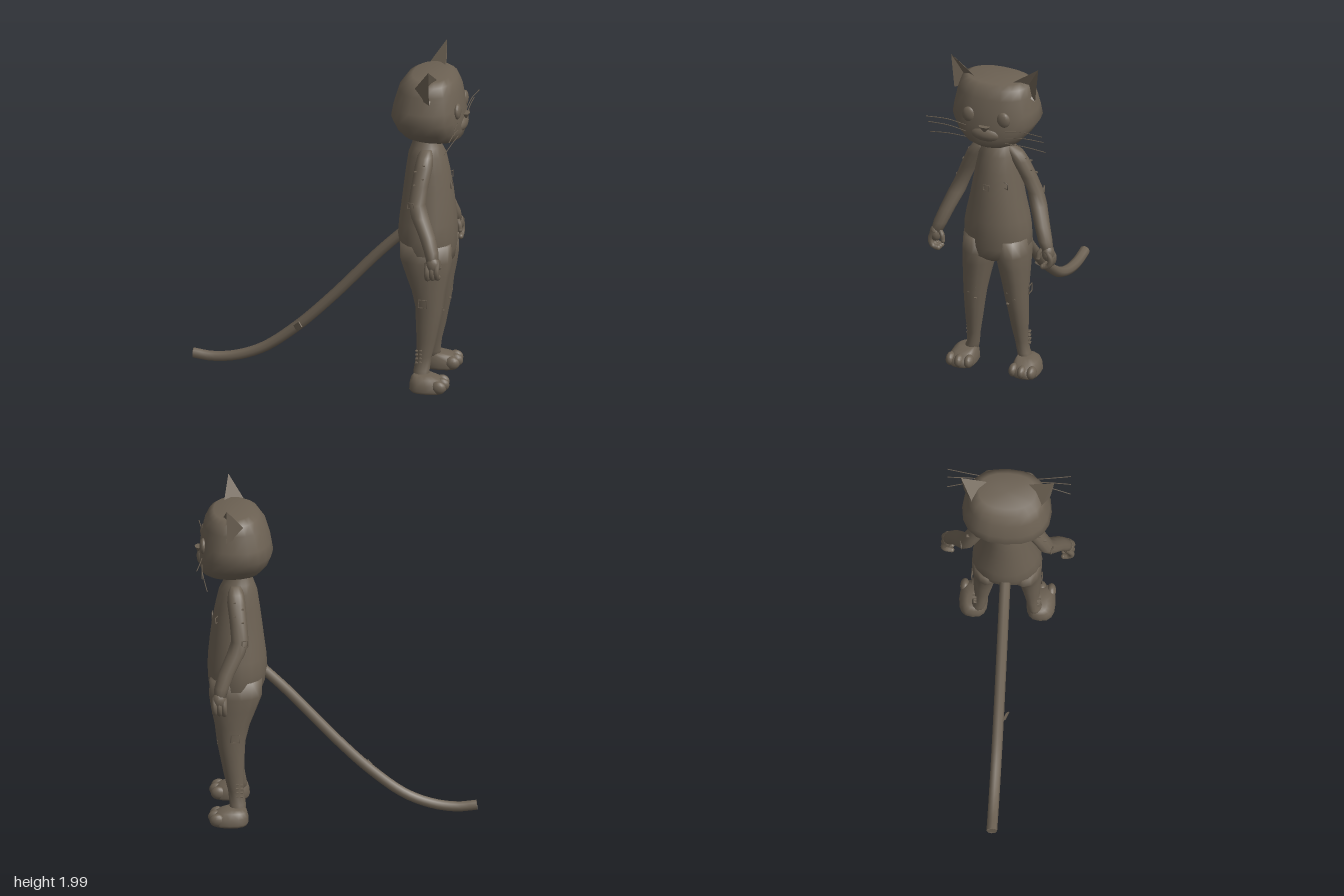
import * as THREE from 'three';

const fur = new THREE.MeshStandardMaterial({ color: 0x6c6153, side: THREE.DoubleSide });
fur.name = 'greyBrownFur';

function add(group, name, geometry, pos = [0, 0, 0], scale = [1, 1, 1]) {
  const mesh = new THREE.Mesh(geometry, fur);
  mesh.name = name;
  mesh.position.set(...pos);
  mesh.scale.set(...scale);
  group.add(mesh);
  return mesh;
}

// Closed skin through horizontal rings, lowest first: [y, x0, x1, z0, z1]
function loft(rings, sides = 16, power = 2) {
  const pos = [], index = [];
  const bend = v => Math.sign(v) * Math.abs(v) ** (2 / power);
  for (const [y, x0, x1, z0, z1] of rings) {
    for (let j = 0; j < sides; j++) {
      const a = (j / sides) * Math.PI * 2;
      pos.push((x0 + x1) / 2 + bend(Math.cos(a)) * (x1 - x0) / 2, y,
        (z0 + z1) / 2 + bend(Math.sin(a)) * (z1 - z0) / 2);
    }
  }
  const last = (rings.length - 1) * sides, low = rings.length * sides;
  for (const r of [rings[0], rings[rings.length - 1]]) pos.push((r[1] + r[2]) / 2, r[0], (r[3] + r[4]) / 2);
  for (let j = 0; j < sides; j++) {
    const k = (j + 1) % sides;
    for (let i = 0; i < last; i += sides) {
      index.push(i + j, i + sides + j, i + k, i + k, i + sides + j, i + sides + k);
    }
    index.push(low, j, k, low + 1, last + k, last + j);
  }
  const g = new THREE.BufferGeometry();
  g.setAttribute('position', new THREE.Float32BufferAttribute(pos, 3));
  g.setIndex(index);
  g.computeVertexNormals();
  return g;
}

const tube = (points, radius, steps = 8, sides = 8) => new THREE.TubeGeometry(
  new THREE.CatmullRomCurve3(points.map(p => new THREE.Vector3(...p))), steps, radius, sides);
const ball = (r = 1) => new THREE.SphereGeometry(r, 14, 10);

// Tapered, hollow-fronted ear
function earGeometry() {
  const tip = [0.62, 2.0, 0.268], inner = [0.645, 1.88, 0.09], outer = [0.62, 1.79, 0.248];
  const back = [0.5, 1.83, 0.18], hollow = [0.59, 1.85, 0.185];
  const faces = [[tip, back, inner], [tip, outer, back], [tip, inner, hollow], [tip, hollow, outer], [inner, outer, hollow]];
  const g = new THREE.BufferGeometry();
  g.setAttribute('position', new THREE.Float32BufferAttribute(faces.flat(2), 3));
  g.computeVertexNormals();
  return g;
}

// Small square frame of stitching
function patch(group, name, pos, size, turn) {
  const frame = add(group, name, new THREE.TorusGeometry(size, 0.004, 4, 4), pos);
  frame.rotation.set(0, turn, 0.75);
  frame.rotation.order = 'YXZ';
}

// Everything on the +z half, mirrored for the other side
function buildSide() {
  const side = new THREE.Group();
  add(side, 'ear', earGeometry());
  add(side, 'eye', ball(), [0.757, 1.71, 0.105], [0.022, 0.048, 0.042]);
  [[1.65, 1.665], [1.61, 1.615], [1.575, 1.535]].forEach(([y0, y1], i) => {
    add(side, 'whisker', tube([[0.765, y0 - 0.01, 0.12], [0.772 - i * 0.01, (y0 + y1) / 2 + 0.004, 0.23],
      [0.79 - i * 0.03, y1, 0.355]], 0.0028, 8, 4));
  });

  add(side, 'arm', loft([
    [0.86, 0.625, 0.695, 0.305, 0.375], [0.92, 0.605, 0.69, 0.278, 0.362], [1.0, 0.57, 0.665, 0.245, 0.335],
    [1.1, 0.515, 0.62, 0.2, 0.298], [1.17, 0.495, 0.595, 0.178, 0.268], [1.27, 0.505, 0.605, 0.135, 0.23],
    [1.37, 0.515, 0.62, 0.085, 0.188], [1.42, 0.525, 0.615, 0.06, 0.155], [1.45, 0.54, 0.6, 0.05, 0.11],
  ], 12));
  add(side, 'palm', ball(), [0.662, 0.845, 0.345], [0.042, 0.052, 0.036]);
  [0.632, 0.66, 0.688].forEach((x, i) => {
    const f = add(side, 'finger', tube([[x, 0.86, 0.345], [x, 0.805, 0.37], [x, 0.765, 0.355], [x, 0.755, 0.322]], 0.016), [0, i * 0.004, 0]);
    f.add(new THREE.Mesh(ball(0.016), fur));
    f.children[0].position.set(x, 0.755, 0.322);
    f.children[0].name = 'fingertip';
  });
  add(side, 'thumb', tube([[0.665, 0.875, 0.325], [0.685, 0.85, 0.298], [0.69, 0.815, 0.292]], 0.014));
  add(side, 'thumbTip', ball(0.014), [0.69, 0.815, 0.292]);

  add(side, 'leg', loft([
    [0.05, 0.51, 0.61, 0.13, 0.235], [0.12, 0.512, 0.605, 0.118, 0.192], [0.2, 0.525, 0.615, 0.108, 0.185],
    [0.3, 0.525, 0.64, 0.09, 0.191], [0.4, 0.52, 0.66, 0.075, 0.194], [0.5, 0.515, 0.68, 0.058, 0.196],
    [0.6, 0.49, 0.692, 0.038, 0.199], [0.7, 0.45, 0.713, 0.016, 0.202], [0.78, 0.42, 0.725, 0.0, 0.203],
    [0.88, 0.42, 0.72, 0.01, 0.195],
  ], 14));
  add(side, 'foot', loft([
    [0.01, 0.505, 0.7, 0.118, 0.27], [0.025, 0.495, 0.715, 0.11, 0.277], [0.06, 0.497, 0.71, 0.113, 0.272],
    [0.09, 0.505, 0.67, 0.122, 0.255], [0.105, 0.52, 0.62, 0.13, 0.23],
  ], 16, 2.6));
  [0.138, 0.193, 0.248].forEach((z, i) => {
    add(side, 'toe', ball(), [i === 1 ? 0.685 : 0.675, 0.05, z], [0.044, 0.039, 0.028]);
  });

  // Stitches scattered on the limbs
  const stitches = [];
  for (let i = 0; i < 4; i++) {
    stitches.push([0.535, 0.17 + i * 0.024, 0.182], [0.56, 0.175 + i * 0.024, 0.188]);
    stitches.push([0.672, 0.47 + i * 0.035, 0.1 + (i % 2) * 0.04]);
    stitches.push([0.53 + (i % 2) * 0.045, 1.28 + i * 0.035, 0.222 - i * 0.017]);
  }
  for (const p of stitches) add(side, 'stitch', new THREE.BoxGeometry(0.014, 0.006, 0.016), p);
  patch(side, 'legPatch', [0.572, 0.54, 0.201], 0.034, 0);
  patch(side, 'armPatch', [0.515, 1.165, 0.262], 0.026, -0.3);
  return side;
}

export function createModel() {
  const model = new THREE.Group();
  model.name = 'standingCat';

  add(model, 'head', loft([
    [1.505, 0.47, 0.74, -0.12, 0.12], [1.53, 0.425, 0.77, -0.17, 0.17], [1.58, 0.385, 0.785, -0.215, 0.215],
    [1.65, 0.358, 0.782, -0.258, 0.258], [1.72, 0.37, 0.775, -0.247, 0.247], [1.82, 0.4, 0.757, -0.225, 0.225],
    [1.875, 0.44, 0.73, -0.207, 0.207], [1.9, 0.48, 0.7, -0.165, 0.165],
  ], 20, 2.35));
  add(model, 'muzzle', ball(), [0.752, 1.605, 0], [0.046, 0.05, 0.1]);

  // Triangular nose, wide at the top
  const nose = add(model, 'nose', new THREE.ConeGeometry(0.035, 0.045, 8), [0.785, 1.642, 0], [0.7, 1, 1]);
  nose.rotation.z = Math.PI;

  add(model, 'body', loft([
    [0.735, 0.5, 0.68, -0.08, 0.08], [0.77, 0.43, 0.72, -0.18, 0.18], [0.83, 0.405, 0.73, -0.2, 0.2],
    [0.92, 0.392, 0.735, -0.2, 0.2], [1.0, 0.397, 0.732, -0.187, 0.187], [1.1, 0.41, 0.722, -0.165, 0.165],
    [1.2, 0.422, 0.71, -0.148, 0.148], [1.3, 0.435, 0.692, -0.13, 0.13], [1.4, 0.45, 0.67, -0.115, 0.115],
    [1.45, 0.468, 0.645, -0.092, 0.092], [1.5, 0.485, 0.622, -0.066, 0.066], [1.54, 0.49, 0.62, -0.065, 0.065],
  ], 18));
  patch(model, 'chestPatch', [0.707, 1.22, 0.02], 0.025, Math.PI / 2);
  patch(model, 'sideChestPatch', [0.68, 1.24, -0.09], 0.025, 1.1);

  const path = [[0.45, 0.93, 0], [0.28, 0.765, 0], [0, 0.462, 0], [-0.2, 0.268, 0], [-0.4, 0.118, 0],
    [-0.56, 0.056, 0], [-0.7, 0.038, 0], [-0.81, 0.05, 0]];
  add(model, 'tail', tube(path, 0.031, 36, 8));
  const end = add(model, 'tailEnd', new THREE.CircleGeometry(0.031, 8), [-0.81, 0.05, 0]);
  end.rotation.y = -Math.PI / 2;
  const tag = add(model, 'tailPatch', new THREE.BoxGeometry(0.05, 0.035, 0.008), [-0.19, 0.28, 0.042]);
  tag.rotation.set(0, -0.5, 0.7);

  const left = buildSide();
  left.name = 'leftSide';
  const right = left.clone();
  right.name = 'rightSide';
  right.scale.z = -1;
  model.add(left, right);
  return model;
}
